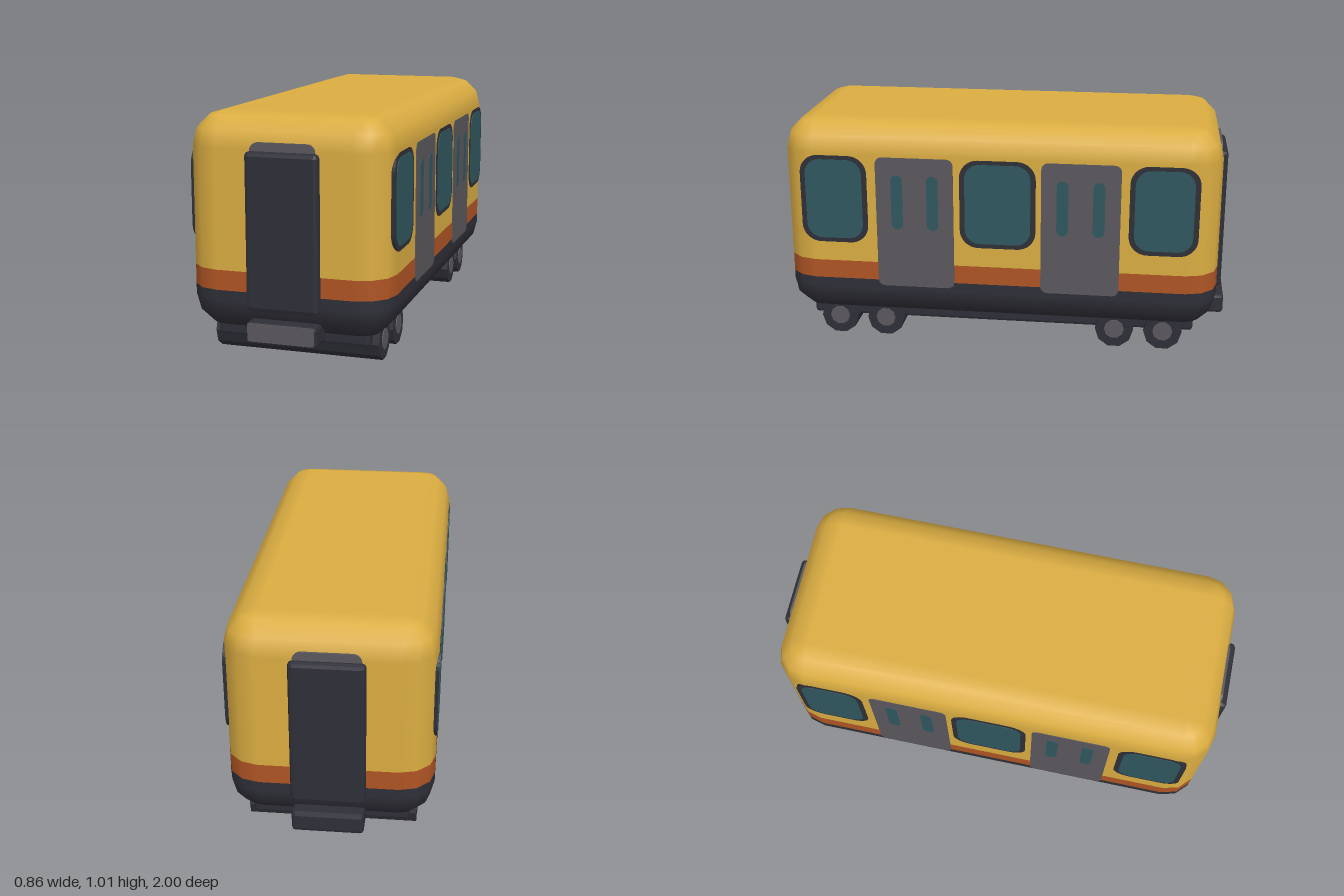
import * as THREE from 'three';
import { RoundedBoxGeometry } from 'three/addons/geometries/RoundedBoxGeometry.js';

const mat = (name, color) => {
  const m = new THREE.MeshStandardMaterial({ color });
  m.name = name;
  return m;
};

// Body size: half width, half length, bottom, top and corner radius
const HX = 0.425, HZ = 0.955, Y0 = 0.115, Y1 = 1.01, R = 0.14;

// One horizontal band of the rounded body; each level is [y, tilt in degrees, scale]
function bandGeometry(levels) {
  const pos = [], nor = [], idx = [], corners = 4, steps = 3;
  const n = corners * (steps + 1);
  for (const [y, tilt, scale = 1] of levels) {
    const p = THREE.MathUtils.degToRad(tilt), c = Math.cos(p), s = Math.sin(p);
    for (let k = 0; k < corners; k++) {
      const sx = k === 0 || k === 3 ? 1 : -1, sz = k < 2 ? 1 : -1;
      for (let i = 0; i <= steps; i++) {
        const a = (k + i / steps) * Math.PI / 2;
        const nx = c * Math.cos(a), nz = c * Math.sin(a);
        pos.push((sx * (HX - R) + R * nx) * scale, y, (sz * (HZ - R) + R * nz) * scale);
        nor.push(nx, s, nz);
      }
    }
  }
  for (let l = 0; l < levels.length - 1; l++) {
    for (let j = 0; j < n; j++) {
      const a = l * n + j, b = l * n + (j + 1) % n;
      idx.push(a, a + n, b, b, a + n, b + n);
    }
  }
  const g = new THREE.BufferGeometry();
  g.setAttribute('position', new THREE.Float32BufferAttribute(pos, 3));
  g.setAttribute('normal', new THREE.Float32BufferAttribute(nor, 3));
  g.setIndex(idx);
  return g;
}

// Box with chamfered edges and flat faces
function chamferBox(w, h, d, r) {
  const g = new RoundedBoxGeometry(w, h, d, 1, r);
  g.computeVertexNormals();
  return g;
}

// Flat plate with rounded corners, front face at z = 0
function plate(w, h, r, depth, segments = 4) {
  const x = w / 2 - r, y = h / 2 - r, s = new THREE.Shape();
  s.absarc(x, y, r, 0, Math.PI / 2);
  s.absarc(-x, y, r, Math.PI / 2, Math.PI);
  s.absarc(-x, -y, r, Math.PI, Math.PI * 1.5);
  s.absarc(x, -y, r, Math.PI * 1.5, Math.PI * 2);
  const g = new THREE.ExtrudeGeometry(s, { depth, bevelEnabled: false, curveSegments: segments });
  return g.translate(0, 0, -depth);
}

export function createModel() {
  const model = new THREE.Group();
  model.name = 'railCar';
  const yellow = mat('yellow paint', 0xdbad42);
  const orange = mat('orange stripe', 0xb05524);
  const dark = mat('dark metal', 0x2f2f38);
  const grey = mat('grey metal', 0x5b585d);
  const glass = mat('teal glass', 0x30575f);

  const add = (name, geo, material, x = 0, y = 0, z = 0, parent = model) => {
    const m = new THREE.Mesh(geo, material);
    m.name = name;
    m.position.set(x, y, z);
    parent.add(m);
    return m;
  };

  // Body shell in three bands
  const arc = (yc, from) => [0, 30, 60, 90].map(d => {
    const t = from + d;
    return [yc + R * Math.sin(THREE.MathUtils.degToRad(t)), t];
  });
  add('lowerBody', bandGeometry([[Y0, -90, 0], ...arc(Y0 + R, -90), [0.295, 0]]), dark);
  add('stripe', bandGeometry([[0.295, 0], [0.378, 0]]), orange);
  add('upperBody', bandGeometry([[0.378, 0], ...arc(Y1 - R, 0), [Y1, 90, 0]]), yellow);

  // Windows and doors on both sides
  for (const s of [1, -1]) {
    const side = new THREE.Group();
    side.name = s > 0 ? 'leftSide' : 'rightSide';
    model.add(side);
    const sidePlate = (name, w, h, r, depth, material, out, y, z) => {
      add(name, plate(w, h, r, depth), material, s * (HX + out), y, z, side).rotation.y = s * Math.PI / 2;
    };
    for (const [z, w] of [[0.717, 0.295], [-0.002, 0.33], [-0.714, 0.295]]) {
      sidePlate('windowFrame', w, 0.395, 0.08, 0.017, dark, 0.002, 0.663, z);
      sidePlate('windowGlass', w - 0.045, 0.357, 0.065, 0.006, glass, 0.005, 0.664, z);
    }
    for (const z of [0.36, -0.36]) {
      sidePlate('door', 0.34, 0.59, 0.03, 0.006, grey, 0.003, 0.565, z);
      for (const dz of [0.078, -0.078]) {
        sidePlate('doorGlass', 0.05, 0.245, 0.024, 0.004, glass, 0.005, 0.66, z + dz);
      }
    }
  }

  // End doors, headers and couplers
  for (const s of [1, -1]) {
    const end = new THREE.Group();
    end.name = s > 0 ? 'frontEnd' : 'backEnd';
    end.rotation.y = s > 0 ? 0 : Math.PI;
    model.add(end);
    add('endDoor', chamferBox(0.305, 0.64, 0.06, 0.018), dark, 0, 0.545, 0.953, end);
    add('doorHeader', plate(0.272, 0.1, 0.035, 0.04, 3), grey, 0, 0.85, 0.957, end);
    add('coupler', chamferBox(0.295, 0.09, 0.13, 0.015), dark, 0, 0.14, 0.934, end);
    if (s > 0) add('couplerFace', plate(0.278, 0.075, 0.008, 0.006, 1), grey, 0, 0.145, 1.0, end);
  }

  // Underframe
  add('underframe', chamferBox(0.65, 0.07, 1.72, 0.015), dark, 0, 0.113, 0);

  // Wheel rollers with round hubs, ten sided with a flat at the bottom
  const wheelGeo = new THREE.CylinderGeometry(0.084, 0.084, 0.705, 10).toNonIndexed();
  wheelGeo.rotateZ(Math.PI / 2);
  wheelGeo.computeVertexNormals();
  const hubGeo = new THREE.CylinderGeometry(0.044, 0.044, 0.006, 10).rotateZ(Math.PI / 2);
  for (const z of [0.735, 0.522, -0.514, -0.728]) {
    add('wheels', wheelGeo, dark, 0, 0.08, z);
    for (const s of [1, -1]) add('hub', hubGeo, grey, s * 0.3535, 0.083, z);
  }
  return model;
}
